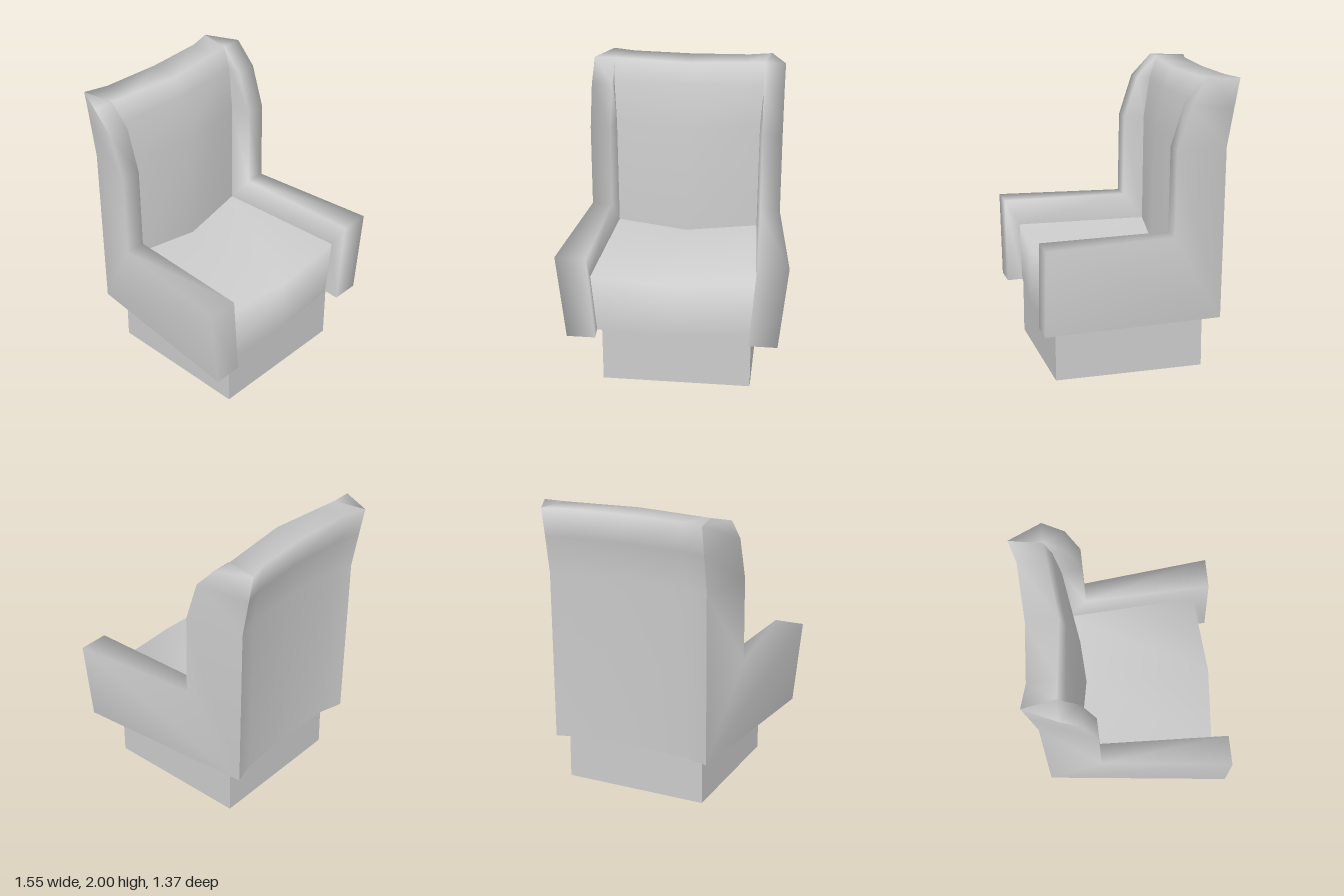
import * as THREE from 'three';
import { mergeVertices } from 'three/addons/utils/BufferGeometryUtils.js';

const upholstery = new THREE.MeshStandardMaterial({ color: 0xcccccc, side: THREE.DoubleSide });
upholstery.name = 'light grey';

// Smooth skin over rows of cross-section points; collapsed corners become fans
function skin(name, rows) {
  const pos = [];
  const tri = (...pts) => {
    const [a, b, c] = pts.map((p) => new THREE.Vector3(...p));
    if (b.sub(a).cross(c.sub(a)).length() > 1e-6) pts.forEach((p) => pos.push(...p));
  };
  for (let i = 0; i < rows.length - 1; i++) {
    for (let j = 0; j < rows[i].length - 1; j++) {
      const a = rows[i][j], b = rows[i][j + 1], c = rows[i + 1][j + 1], d = rows[i + 1][j];
      tri(a, b, c);
      tri(a, c, d);
    }
  }
  let geo = new THREE.BufferGeometry();
  geo.setAttribute('position', new THREE.Float32BufferAttribute(pos, 3));
  geo = mergeVertices(geo);
  geo.computeVertexNormals();
  const mesh = new THREE.Mesh(geo, upholstery);
  mesh.name = name;
  return mesh;
}

// Full-width row from its centre-to-side half
const mirrorRow = (half) => [
  ...half.slice(1).reverse().map(([x, y, z]) => [-x, y, z]),
  ...half,
];

export function createModel() {
  const chair = new THREE.Group();
  chair.name = 'armchair';

  // Square plinth, open above and below
  let baseGeo = new THREE.CylinderGeometry(Math.SQRT1_2, Math.SQRT1_2, 1, 4, 1, true, Math.PI / 4);
  baseGeo = baseGeo.toNonIndexed();
  baseGeo.scale(1.02, 0.385, 1.03);
  baseGeo.computeVertexNormals();
  const base = new THREE.Mesh(baseGeo, upholstery);
  base.name = 'base';
  base.position.set(0.02, 0.1925, 0.055);
  chair.add(base);

  // Seat: front drop, rolled edge, top
  chair.add(skin('seat', [
    [[0, 0.385, 0.62], [0.525, 0.385, 0.57]],
    [[0, 0.775, 0.62], [0.56, 0.795, 0.575]],
    [[0, 0.775, -0.26], [0.505, 0.795, -0.35]],
  ].map(mirrorRow)));

  // Backrest: up the front, over the top and down the back
  const frontRow = (y0, zc, x, y, z) => [[0, y0, zc], [x * 0.75, y0 + (y - y0) * 0.75, zc + (z - zc) * 0.75], [x, y, z]];
  const backRow = (y, z) => [[0, y, z + 0.07], [0.41, y, z + 0.047], [0.57, y, z]];
  chair.add(skin('backrest', [
    frontRow(0.775, -0.26, 0.505, 0.795, -0.35),
    frontRow(1.56, -0.28, 0.51, 1.56, -0.36),
    frontRow(1.85, -0.36, 0.53, 1.85, -0.41),
    frontRow(2, -0.4, 0.53, 2, -0.46),
    backRow(2, -0.685),
    backRow(1.8, -0.647),
    backRow(1.54, -0.6),
    backRow(0.35, -0.58),
  ].map(mirrorRow)));

  // Arm and wing: each row runs back corner, outer edge, inner edge, cushion joint
  const foot = [0.57, 0.35, -0.58];
  const crown = [0.57, 2, -0.685];
  const side = [
    [foot, [0.715, 0.385, 0.68], [0.52, 0.385, 0.68], [0.525, 0.385, 0.57]],
    [foot, [0.775, 0.98, 0.68], [0.565, 0.98, 0.68], [0.56, 0.795, 0.575]],
    [foot, [0.675, 0.98, -0.21], [0.535, 0.98, -0.21], [0.505, 0.795, -0.35]],
    [[0.57, 1.54, -0.6], [0.675, 1.56, -0.22], [0.535, 1.56, -0.22], [0.51, 1.56, -0.36]],
    [[0.57, 1.8, -0.647], [0.675, 1.85, -0.315], [0.53, 1.85, -0.315], [0.53, 1.85, -0.41]],
    [crown, [0.675, 2, -0.46], [0.53, 2, -0.46], [0.53, 2, -0.46]],
    [crown, crown, crown, crown],
  ];
  chair.add(skin('leftArmAndWing', side));
  chair.add(skin('rightArmAndWing', side.map((row) => row.map(([x, y, z]) => [-x, y, z]).reverse())));

  return chair;
}
